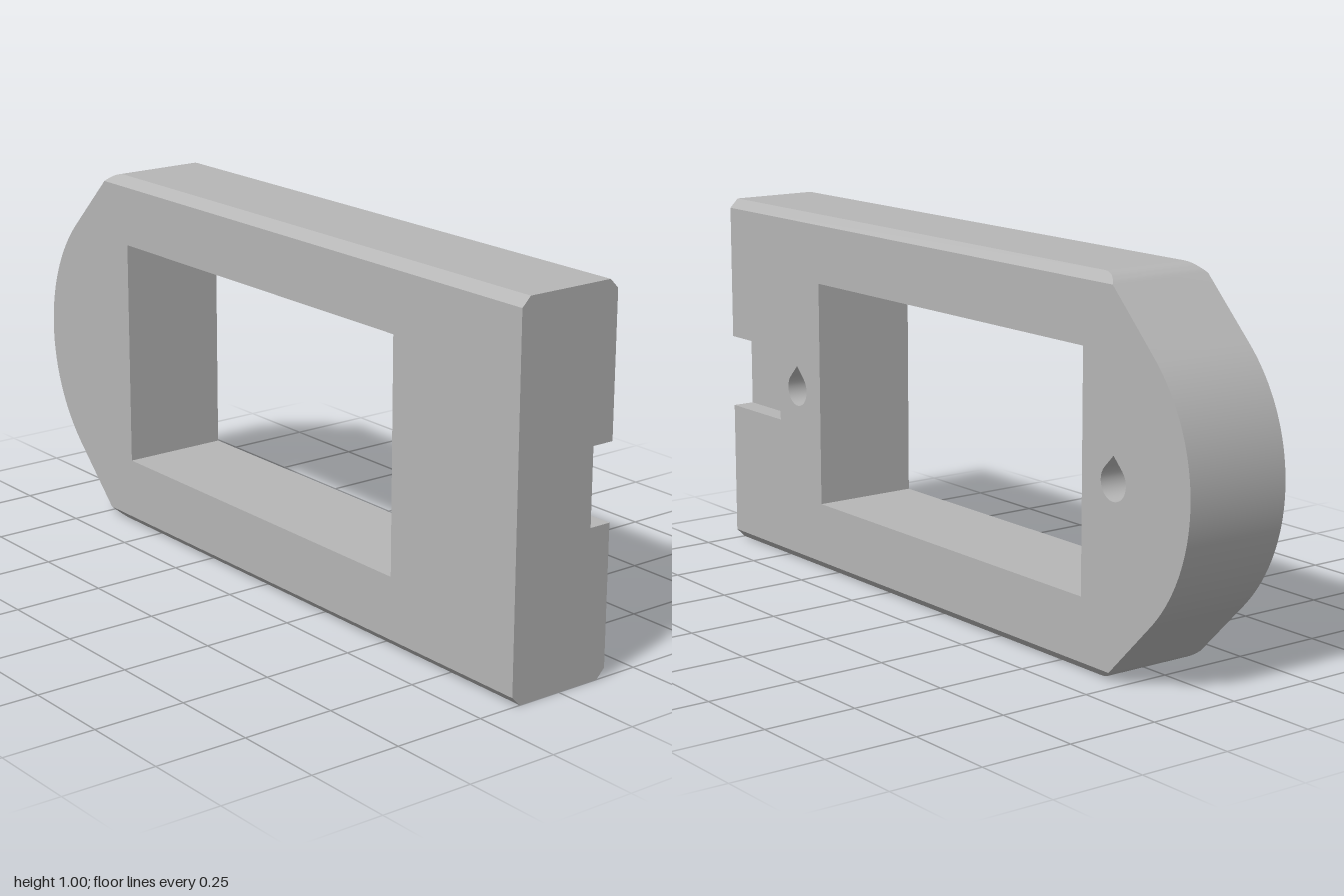
import * as THREE from 'three';
import { toCreasedNormals } from 'three/addons/utils/BufferGeometryUtils.js';

// Profiles are drawn as (u, y) with u = -z, then pushed along w = x.
const H = 1.005, W = 0.15, C = 0.025, R = 0.46;
const NOTCH = { depth: 0.088, back: -0.75, low: 0.4, high: 0.605 };
const HOLE_FLOOR = -0.05;
const grey = new THREE.MeshStandardMaterial({ color: 0xb6b6b6 });
grey.name = 'grey';

const v2 = (u, y) => new THREE.Vector2(u, y);
const mirror = (pts) => pts.map((p) => v2(p.x, H - p.y)).reverse();

function addMesh(group, name, geometry) {
  const mesh = new THREE.Mesh(geometry, grey);
  mesh.name = name;
  group.add(mesh);
}

function fromTriangles(tri) {
  const g = new THREE.BufferGeometry();
  g.setAttribute('position', new THREE.Float32BufferAttribute(tri.flat(), 3));
  return toCreasedNormals(g, Math.PI / 6);
}

// Wall along a path; counter-clockwise paths face outward, clockwise inward
function wall(path, low, high, closed = false) {
  const tri = [];
  const count = closed ? path.length : path.length - 1;
  for (let i = 0; i < count; i++) {
    const p = path[i], q = path[(i + 1) % path.length];
    const a = [p.x, p.y, low(p)], b = [q.x, q.y, low(q)];
    const c = [q.x, q.y, high(q)], d = [p.x, p.y, high(p)];
    tri.push(...a, ...b, ...c, ...a, ...c, ...d);
  }
  return fromTriangles(tri);
}

// Flat face at height w, optionally facing the other way
function face(outline, holes, w, flip = false) {
  const shape = new THREE.Shape(outline);
  shape.holes = holes.map((h) => new THREE.Path(h));
  const g = new THREE.ShapeGeometry(shape);
  g.translate(0, 0, w);
  if (flip) {
    g.index.array.reverse();
    g.computeVertexNormals();
  }
  return g;
}

// Clockwise loop: a circle with a 45 degree peak on top
function teardrop(u) {
  const r = 0.047, pts = [v2(u, H / 2 + r * Math.SQRT2)];
  for (let i = 0; i <= 24; i++) {
    const a = Math.PI / 4 - (i / 24) * Math.PI * 1.5;
    pts.push(v2(u + r * Math.cos(a), H / 2 + r * Math.sin(a)));
  }
  return pts;
}

export function createModel() {
  const model = new THREE.Group();
  const body = new THREE.Group();
  body.name = 'frameBody';
  body.rotation.y = Math.PI / 2;
  model.add(body);

  // Rounded nose: arc, 45 degree shoulder, then a small fillet to the top edge
  const arc = [];
  for (let i = 0; i <= 24; i++) {
    const a = (i / 24) * Math.PI / 4;
    arc.push(v2(1 - R + R * Math.cos(a), H / 2 + R * Math.sin(a)));
  }
  const shoulder = arc[24].x + arc[24].y;
  const fillet = new THREE.QuadraticBezierCurve(
    v2(shoulder - (H - C), H - C), v2(shoulder - H, H), v2(shoulder - H - 0.035, H)
  ).getPoints(8);
  const edge = [...fillet, v2(-1, H)];
  const nose = [...mirror(arc).slice(0, -1), ...arc];

  // Outer rim, narrowed where the long edges are chamfered
  const halfWidth = (p) => W - Math.max(0, Math.abs(p.y - H / 2) - (H / 2 - C));
  addMesh(body, 'outerRim', wall([...mirror(edge), ...nose, ...edge], (p) => -halfWidth(p), halfWidth));

  // Four chamfers along the long edges
  for (const side of [1, -1]) {
    for (const up of [1, -1]) {
      const place = (u, y, w) => [u, up > 0 ? y : H - y, w * side];
      const tri = [];
      for (let i = 0; i < edge.length - 1; i++) {
        const corners = [
          place(-1, H - C, W),
          place(edge[i].x, edge[i].y, halfWidth(edge[i])),
          place(edge[i + 1].x, edge[i + 1].y, halfWidth(edge[i + 1])),
        ];
        if (side * up < 0) corners.reverse();
        if (i > 0) tri.push(...corners.flat());
        else tri.push(...corners.flat());
      }
      addMesh(body, 'edgeChamfer', fromTriangles(tri));
    }
  }

  // Window through the body, clockwise
  const windowLoop = [v2(-0.545, 0.193), v2(-0.545, 0.818), v2(0.605, 0.818), v2(0.605, 0.193)];
  addMesh(body, 'windowWalls', wall(windowLoop, () => -W, () => W, true));

  // Blind teardrop holes in the left side
  const holes = [teardrop(-0.66), teardrop(0.723)];
  for (const hole of holes) {
    addMesh(body, 'teardropHoleWall', wall(hole, () => HOLE_FLOOR, () => W, true));
    addMesh(body, 'teardropHoleFloor', face(hole, [], HOLE_FLOOR));
  }

  // Notch in the front edge of the left side
  const n = NOTCH;
  const notch = [v2(-1, n.high), v2(n.back, n.high), v2(n.back, n.low), v2(-1, n.low)];
  addMesh(body, 'notchWalls', wall(notch, () => n.depth, () => W));
  addMesh(body, 'notchFloor', face(notch, [], n.depth));

  // Flat sides
  const sideLoop = [v2(-1, C), v2(fillet[0].x, C), ...nose, v2(fillet[0].x, H - C), v2(-1, H - C)];
  addMesh(body, 'leftSide', face([...sideLoop, ...notch], [windowLoop, ...holes], W));
  addMesh(body, 'rightSide', face(sideLoop, [windowLoop], -W, true));

  // Front end with chamfered corners and the notch opening
  const end = [
    v2(-W + C, 0), v2(W - C, 0), v2(W, C),
    v2(W, n.low), v2(n.depth, n.low), v2(n.depth, n.high), v2(W, n.high),
    v2(W, H - C), v2(W - C, H), v2(-W + C, H), v2(-W, H - C), v2(-W, C),
  ];
  addMesh(model, 'frontEnd', face(end, [], 1));
  return model;
}
